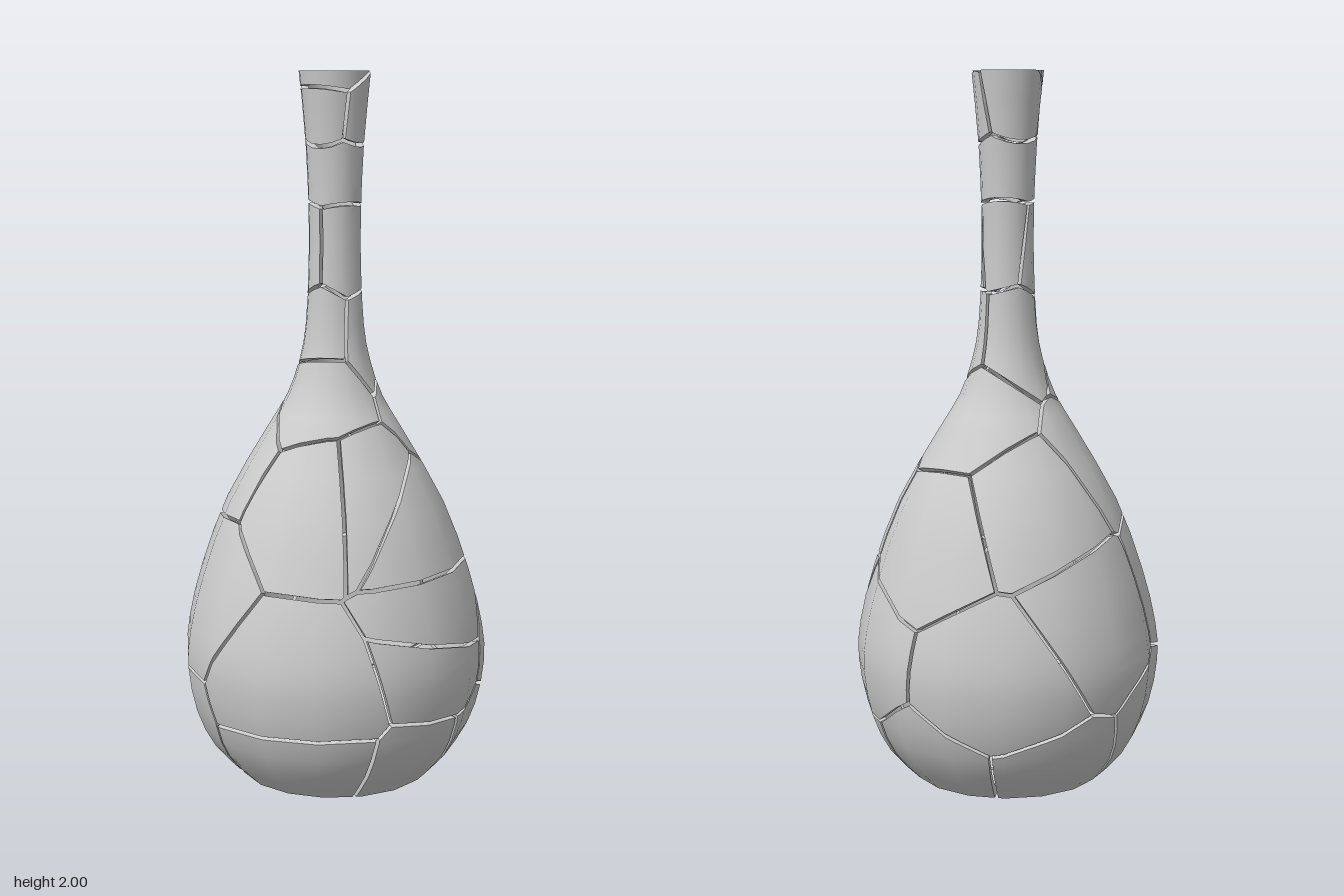
import * as THREE from 'three';

const SIDES = 16, ROWS = 28, WALL = 0.022, HALF_GAP = 0.005;

// Outer silhouette of the bottle: radius, height
const PROFILE = [
  [0.27, 0], [0.355, 0.09], [0.408, 0.2], [0.432, 0.33], [0.425, 0.44], [0.385, 0.6], [0.31, 0.8],
  [0.195, 1.0], [0.135, 1.1], [0.1, 1.2], [0.082, 1.3], [0.074, 1.45], [0.073, 1.6], [0.081, 1.8], [0.1, 2],
];

// One point per shard; the cracks run halfway between neighbours
const BODY = [
  [-0.145, 0.32, 0.25], [0.16, 0.41, 0.25], [0.18, 0.5, 0.25], [0.17, 0.76, 0.25], [0.01, 0.87, 0.25], [-0.115, 0.88, 0.25],
  [0.26, 0.39, 0.03], [0.25, 0.74, -0.13], [0.15, 1.06, -0.07], [-0.1, 1.13, 0.1],
  [0.03, 0.82, -0.25], [-0.1, 0.5, -0.3], [0.12, 0.36, -0.3],
  [-0.19, 0.93, -0.08], [-0.3, 0.55, -0.05], [-0.25, 0.2, -0.12],
];
const BASE = [
  [-0.14, 0.1, 0.25], [0.12, 0.07, 0.25], [0.24, 0.1, 0.13], [0.2, 0.08, -0.14], [0, 0.08, -0.25], [-0.06, -0.05, 0],
];
const NECK = [
  [-0.08, 1.3, 0.06], [0.1, 1.29, 0.06], [0, 1.29, -0.09],
  [0.03, 1.5, 0.06], [-0.08, 1.5, -0.03], [0.05, 1.52, -0.06],
  [0.01, 1.76, 0], [-0.05, 1.89, 0.05], [0.06, 1.88, 0.04], [0, 1.9, -0.07], [-0.03, 2.01, 0.04],
];

// A vertex holds the outer point, the inner point and the normal: 9 numbers
function spin(row, angle) {
  const s = Math.sin(angle), c = Math.cos(angle);
  return row.flatMap(([r, y]) => [r * s, y, r * c]);
}

// Triangles of the whole wall, before it is broken
function wallTriangles() {
  const curve = new THREE.SplineCurve(PROFILE.map(([r, y]) => new THREE.Vector2(r, y)));
  const floorIn = [0.245, WALL];
  const side = [];
  for (let j = 0; j <= ROWS; j++) {
    const p = curve.getPoint(j / ROWS), t = curve.getTangent(j / ROWS);
    const inner = j === 0 ? floorIn : [p.x - t.y * WALL, j === ROWS ? 2 : p.y + t.x * WALL];
    side.push([[p.x, p.y], inner, [t.y, -t.x]]);
  }
  const floor = [[[0, 0], [0, WALL], [0, -1]], [[0.27, 0], floorIn, [0, -1]]];
  const triangles = [];
  for (const strip of [floor, side]) {
    for (let j = 0; j < strip.length - 1; j++) {
      for (let i = 0; i < SIDES; i++) {
        const a0 = (i / SIDES) * Math.PI * 2, a1 = ((i + 1) / SIDES) * Math.PI * 2;
        const a = spin(strip[j], a0), b = spin(strip[j], a1);
        const c = spin(strip[j + 1], a1), d = spin(strip[j + 1], a0);
        if (strip[j][0][0] > 0) triangles.push([a, b, c]);
        triangles.push([a, c, d]);
      }
    }
  }
  return triangles;
}

const distance = (pl, v) => pl[0] * v[0] + pl[1] * v[1] + pl[2] * v[2] + pl[3];

// Keep the part of a polygon behind a plane
function clip(poly, plane) {
  const out = [];
  poly.forEach((p, i) => {
    const q = poly[(i + 1) % poly.length];
    const dp = distance(plane, p), dq = distance(plane, q);
    if (dp <= 0) out.push(p);
    if ((dp < 0 && dq > 0) || (dp > 0 && dq < 0)) {
      const t = dp / (dp - dq);
      out.push(p.map((n, k) => n + (q[k] - n) * t));
    }
  });
  return out;
}

// Planes midway to every other seed, drawn back by half the crack width
function crackPlanes(seed, seeds) {
  return seeds.filter((s) => s !== seed).map((s) => {
    const a = new THREE.Vector3(...seed), b = new THREE.Vector3(...s);
    const n = b.clone().sub(a).normalize();
    return [n.x, n.y, n.z, HALF_GAP - n.dot(a.add(b).multiplyScalar(0.5))];
  });
}

// Outer skin, inner skin and broken edges of one shard
function shardGeometry(triangles, planes) {
  const position = [], normal = [];
  const outer = (v) => v.slice(0, 3), inner = (v) => v.slice(3, 6);
  const up = (v) => v.slice(6, 9), down = (v) => v.slice(6, 9).map((n) => -n);
  for (const triangle of triangles) {
    let poly = triangle;
    for (const plane of planes) {
      poly = clip(poly, plane);
      if (poly.length < 3) break;
    }
    if (poly.length < 3) continue;
    for (let i = 1; i < poly.length - 1; i++) {
      const [a, b, c] = [poly[0], poly[i], poly[i + 1]];
      position.push(...outer(a), ...outer(b), ...outer(c), ...inner(a), ...inner(c), ...inner(b));
      normal.push(...up(a), ...up(b), ...up(c), ...down(a), ...down(c), ...down(b));
    }
    poly.forEach((p, i) => {
      const q = poly[(i + 1) % poly.length];
      const isRim = p[1] > 1.9999 && q[1] > 1.9999;
      const isCut = planes.some((pl) => Math.abs(distance(pl, p)) < 1e-7 && Math.abs(distance(pl, q)) < 1e-7);
      if (!isRim && !isCut) return;
      const [po, pi, qi, qo] = [outer(p), inner(p), inner(q), outer(q)];
      const e1 = new THREE.Vector3(...pi).sub(new THREE.Vector3(...po));
      const e2 = new THREE.Vector3(...qi).sub(new THREE.Vector3(...po));
      const n = e1.cross(e2).normalize().toArray();
      position.push(...po, ...pi, ...qi, ...po, ...qi, ...qo);
      for (let k = 0; k < 6; k++) normal.push(...n);
    });
  }
  const geometry = new THREE.BufferGeometry();
  geometry.setAttribute('position', new THREE.Float32BufferAttribute(position, 3));
  geometry.setAttribute('normal', new THREE.Float32BufferAttribute(normal, 3));
  return geometry;
}

export function createModel() {
  const model = new THREE.Group();
  model.name = 'crackedBottle';
  const material = new THREE.MeshStandardMaterial({ color: 0xcccccc });
  const triangles = wallTriangles();
  const seeds = [...BASE, ...BODY, ...NECK];
  for (const [name, list] of [['base', BASE], ['body', BODY], ['neck', NECK]]) {
    const part = new THREE.Group();
    part.name = name;
    list.forEach((seed, i) => {
      const geometry = shardGeometry(triangles, crackPlanes(seed, seeds));
      if (geometry.attributes.position.count === 0) return;
      const shard = new THREE.Mesh(geometry, material);
      shard.name = `${name}Shard${i + 1}`;
      part.add(shard);
    });
    model.add(part);
  }
  return model;
}
